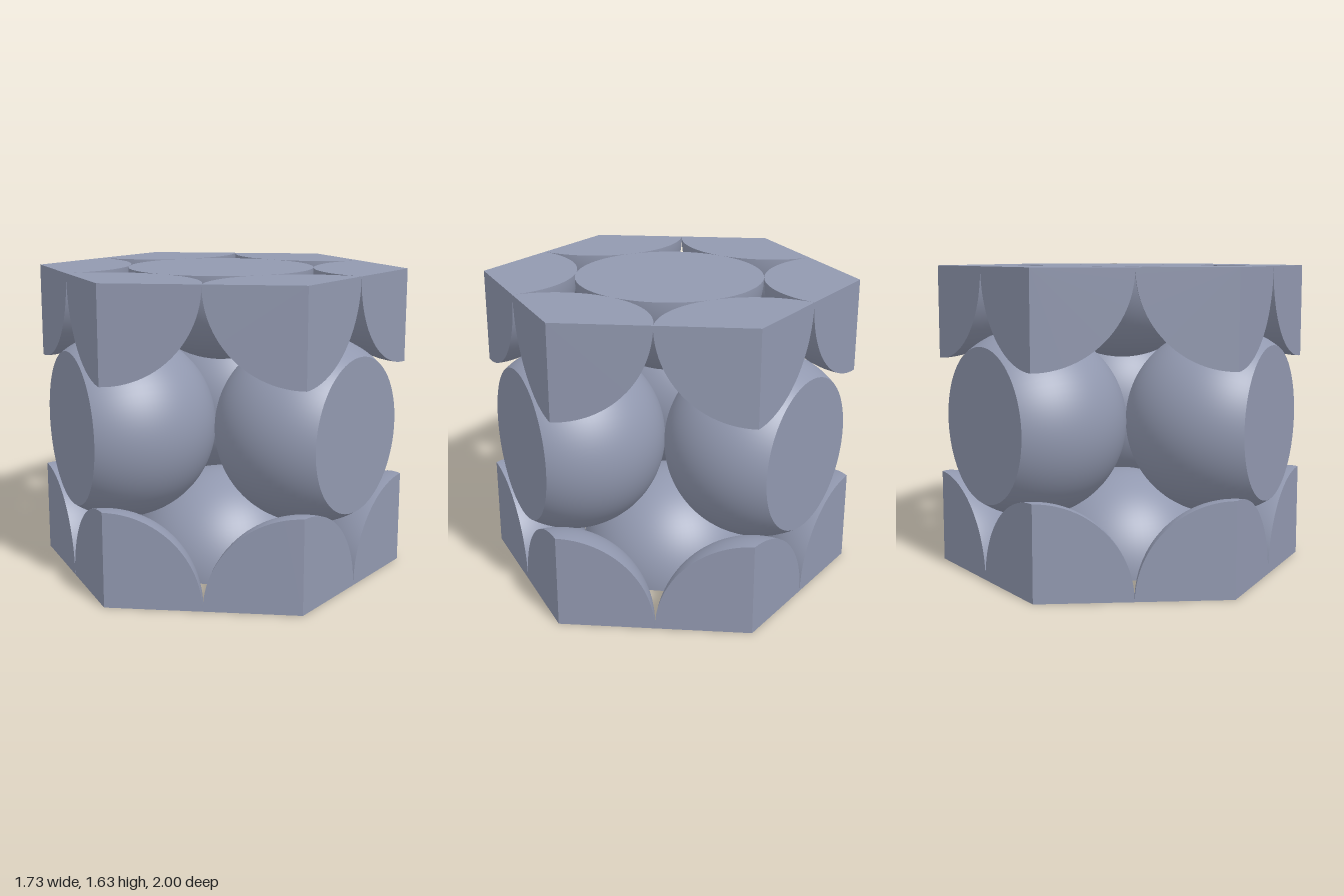
import * as THREE from 'three';
import { mergeGeometries } from 'three/addons/utils/BufferGeometryUtils.js';

const R = 0.5;                        // sphere radius; neighbours just touch
const HEIGHT = 2 * Math.sqrt(2 / 3);  // height of the hexagonal prism
const APOTHEM = Math.sqrt(3) / 2;
const RING = 1 / Math.sqrt(3);        // distance of the middle spheres from the axis
const PI = Math.PI;

// Half sphere resting on its flat face
function hemisphereGeometry() {
  return mergeGeometries([
    new THREE.SphereGeometry(R, 72, 24, 0, 2 * PI, 0, PI / 2),
    new THREE.CircleGeometry(R, 72).rotateX(PI / 2),
  ]);
}

// 120 degree wedge of a half sphere, opening towards -x
function cornerGeometry() {
  return mergeGeometries([
    new THREE.SphereGeometry(R, 24, 24, -PI / 3, 2 * PI / 3, 0, PI / 2),
    new THREE.CircleGeometry(R, 24, 2 * PI / 3, 2 * PI / 3).rotateX(PI / 2),
    new THREE.CircleGeometry(R, 24, PI / 2, PI / 2).rotateY(PI / 3),
    new THREE.CircleGeometry(R, 24, 0, PI / 2).rotateY(2 * PI / 3),
  ]);
}

// Sphere sliced flat on its +x side by the prism wall
function slicedSphereGeometry() {
  const d = APOTHEM - RING;
  const start = Math.acos(d / R);
  return mergeGeometries([
    new THREE.SphereGeometry(R, 72, 40, 0, 2 * PI, start, PI - start),
    new THREE.CircleGeometry(Math.sqrt(R * R - d * d), 72).rotateX(-PI / 2).translate(0, d, 0),
  ]).rotateZ(-PI / 2);
}

export function createModel() {
  const model = new THREE.Group();
  model.name = 'hexagonalSpherePacking';
  const material = new THREE.MeshStandardMaterial({ color: 0x9299b0 });
  material.name = 'blueGrey';

  // Places a mesh at a distance from the axis, turned about it
  function addAround(parent, geometry, name, distance, y, angle) {
    const mesh = new THREE.Mesh(geometry, material);
    mesh.name = name;
    mesh.position.set(distance * Math.cos(angle), y, -distance * Math.sin(angle));
    mesh.rotation.y = angle;
    parent.add(mesh);
  }

  // Bottom and top layers: a central half sphere and six corner wedges
  const hemisphere = hemisphereGeometry();
  const corner = cornerGeometry();
  for (const name of ['bottomLayer', 'topLayer']) {
    const layer = new THREE.Group();
    layer.name = name;
    addAround(layer, hemisphere, 'centreHalfSphere', 0, 0, 0);
    for (let i = 0; i < 6; i++) {
      addAround(layer, corner, 'cornerWedge', 1, 0, PI / 6 + i * PI / 3);
    }
    if (name === 'topLayer') {
      layer.rotation.x = PI;
      layer.position.y = HEIGHT;
    }
    model.add(layer);
  }

  // Middle layer: three sliced spheres
  const middle = new THREE.Group();
  middle.name = 'middleLayer';
  const sliced = slicedSphereGeometry();
  for (let i = 0; i < 3; i++) {
    addAround(middle, sliced, 'slicedSphere', RING, HEIGHT / 2, PI / 3 + i * 2 * PI / 3);
  }
  model.add(middle);

  return model;
}
